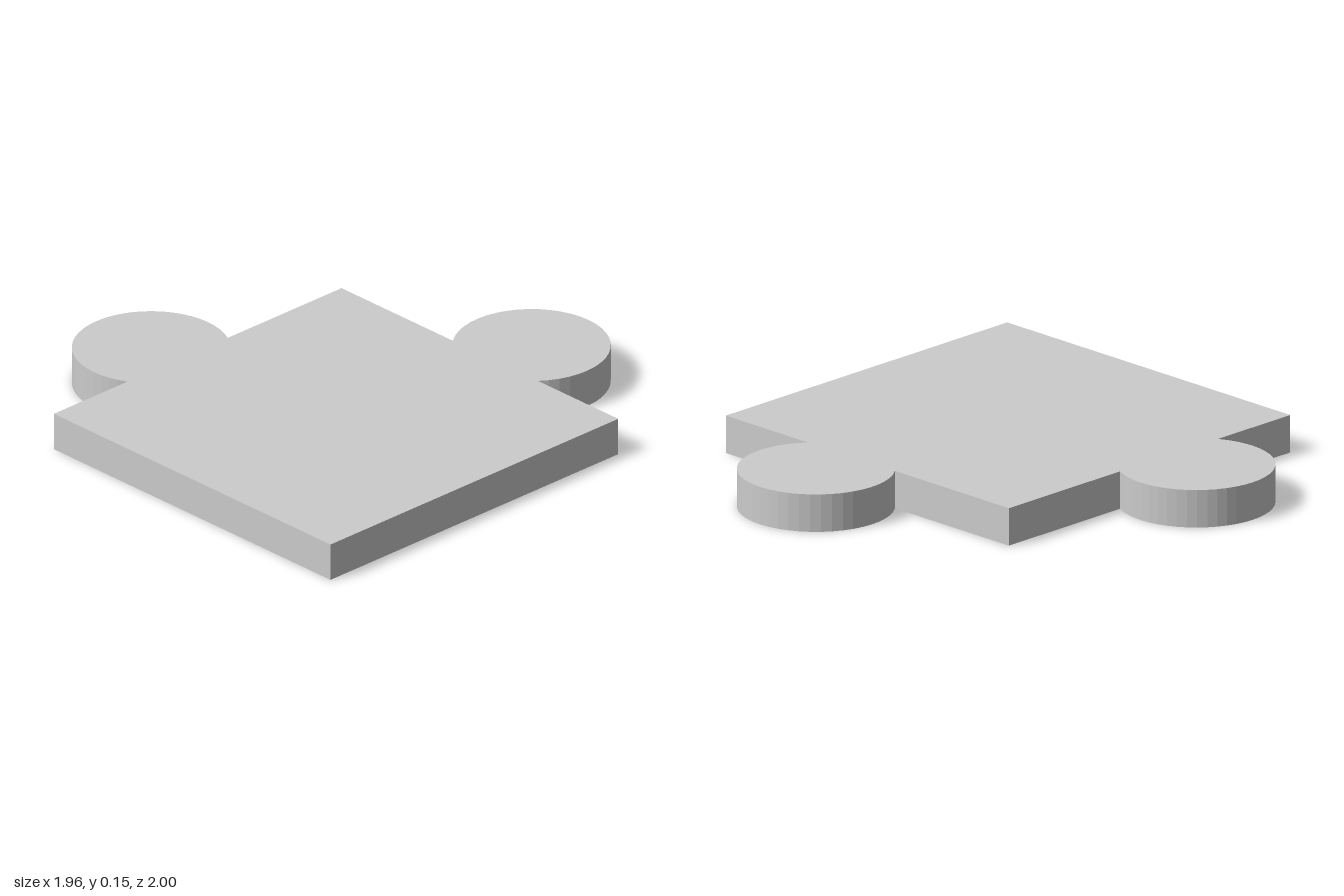
import * as THREE from 'three';

const THICKNESS = 0.15;
const KNOB_RADIUS = 0.3;
const LEFT = -0.535, RIGHT = 0.975, FRONT = -1, BACK = 0.51; // outline y runs towards the back

export function createModel() {
  const group = new THREE.Group();
  group.name = 'puzzlePiece';

  // Square body with two round knobs, drawn counter-clockwise
  const outline = new THREE.Shape();
  outline.moveTo(LEFT, FRONT);
  outline.lineTo(RIGHT, FRONT);
  outline.lineTo(RIGHT, BACK);

  // Back knob, cut where its circle meets the back edge
  const backCentre = { x: 0.305, y: 0.7 };
  const a = Math.asin((backCentre.y - BACK) / KNOB_RADIUS);
  outline.absarc(backCentre.x, backCentre.y, KNOB_RADIUS, -a, Math.PI + a, false);
  outline.lineTo(LEFT, BACK);

  // Side knob, cut where its circle meets the side edge
  const sideCentre = { x: -0.68, y: -0.35 };
  const b = Math.acos((LEFT - sideCentre.x) / KNOB_RADIUS);
  outline.absarc(sideCentre.x, sideCentre.y, KNOB_RADIUS, b, 2 * Math.PI - b, false);
  outline.closePath();

  // Lay the extruded plate flat on the ground
  const geometry = new THREE.ExtrudeGeometry(outline, {
    depth: THICKNESS,
    bevelEnabled: false,
    curveSegments: 16,
  });
  geometry.rotateX(-Math.PI / 2);

  const material = new THREE.MeshStandardMaterial({ color: 0xcccccc, flatShading: true });
  const plate = new THREE.Mesh(geometry, material);
  plate.name = 'plateWithKnobs';
  group.add(plate);
  return group;
}
